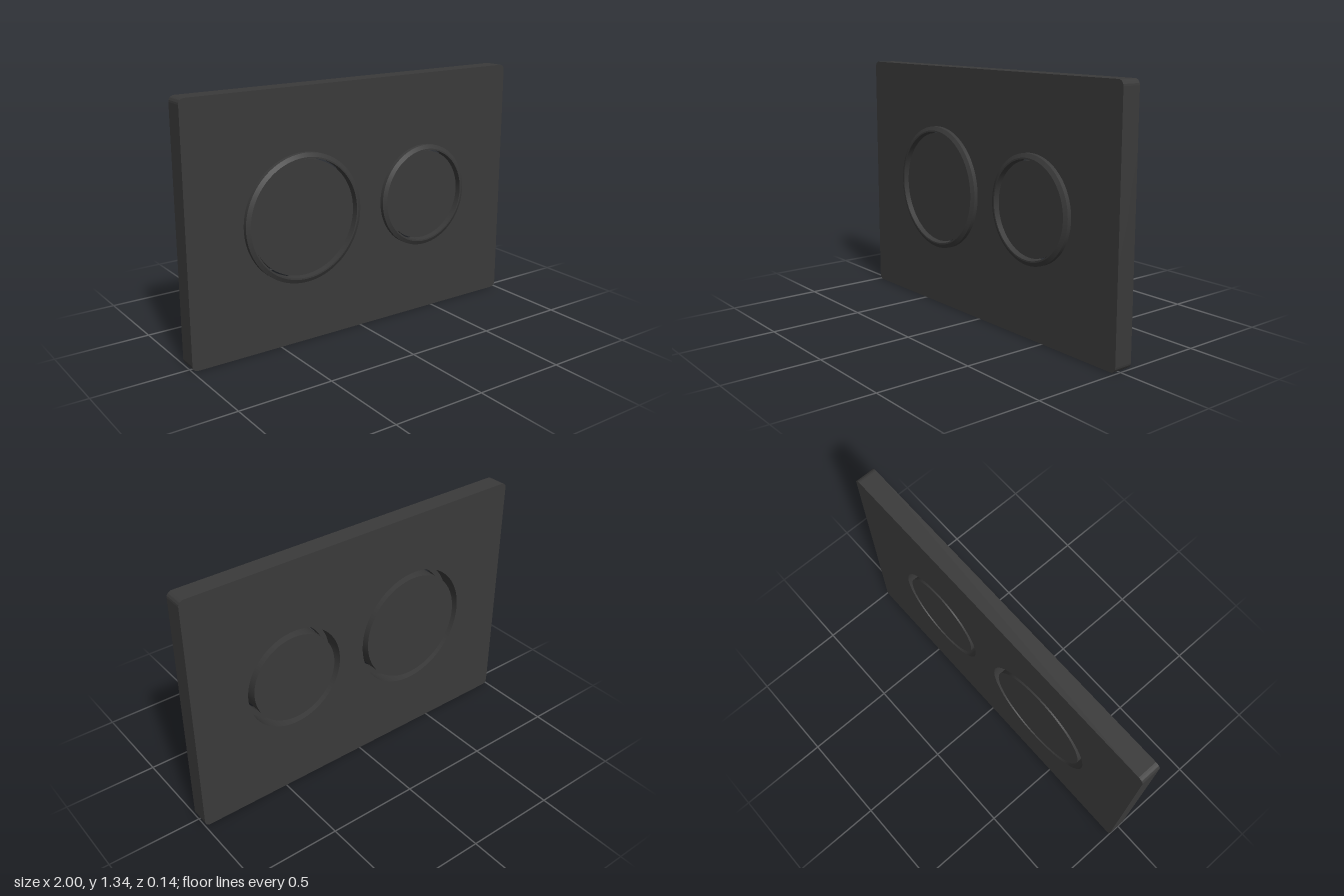
import * as THREE from 'three';
import { toCreasedNormals } from 'three/addons/utils/BufferGeometryUtils.js';

const BACK = -0.068, FRONT = 0.036, TOP = 0.069;
const WIDTH = 2, HEIGHT = 1.34, CENTRE_Y = 0.672;

// The two round buttons: centre x and outer radius of the surrounding ring
const BUTTONS = [
  { name: 'largeButton', x: -0.355, radius: 0.339 },
  { name: 'smallButton', x: 0.413, radius: 0.281 },
];

function roundedRectangle(w, h, r) {
  const s = new THREE.Shape();
  const x = w / 2;
  s.moveTo(-x + r, 0);
  s.lineTo(x - r, 0);
  s.absarc(x - r, r, r, -Math.PI / 2, 0);
  s.lineTo(x, h - r);
  s.absarc(x - r, h - r, r, 0, Math.PI / 2);
  s.lineTo(-x + r, h);
  s.absarc(-x + r, h - r, r, Math.PI / 2, Math.PI);
  s.lineTo(-x, r);
  s.absarc(-x + r, r, r, Math.PI, Math.PI * 1.5);
  return s;
}

// Spins a closed (radius, z) profile around the z axis
function spin(profile) {
  const points = profile.map(([r, z]) => new THREE.Vector2(r, z));
  const geometry = new THREE.LatheGeometry(points, 96).rotateX(Math.PI / 2);
  return toCreasedNormals(geometry, 0.25);
}

export function createModel() {
  const model = new THREE.Group();
  model.name = 'wallPlateWithButtons';
  const charcoal = new THREE.MeshStandardMaterial({ color: 0x3a3a3a });
  charcoal.name = 'charcoal';

  // Plate with a round opening for each button
  const outline = roundedRectangle(WIDTH, HEIGHT, 0.03);
  for (const { x, radius } of BUTTONS) {
    const hole = new THREE.Path();
    hole.absarc(x, CENTRE_Y, radius - 0.001, 0, Math.PI * 2, true);
    outline.holes.push(hole);
  }
  const plateGeometry = new THREE.ExtrudeGeometry(outline, {
    depth: FRONT - BACK, bevelEnabled: false, curveSegments: 48,
  });
  plateGeometry.translate(0, 0, BACK);
  const plate = new THREE.Mesh(toCreasedNormals(plateGeometry, 0.5), charcoal);
  plate.name = 'plate';
  model.add(plate);

  for (const { name, x, radius } of BUTTONS) {
    const button = new THREE.Group();
    button.name = name;
    button.position.set(x, CENTRE_Y, 0);

    // Raised chamfered ring, open behind
    const inner = radius - 0.029;
    const ring = new THREE.Mesh(spin([
      [inner, FRONT - 0.01], [radius, FRONT - 0.01], [radius, TOP - 0.011],
      [radius - 0.021, TOP], [inner, TOP], [inner, FRONT - 0.01],
    ]), charcoal);
    ring.name = name + 'Ring';

    // Push disc, set apart from the ring by a narrow through gap
    const disc = radius - 0.037;
    const press = new THREE.Mesh(spin([
      [0, BACK], [disc, BACK], [disc, FRONT + 0.008], [0, FRONT + 0.008],
    ]), charcoal);
    press.name = name + 'Disc';

    button.add(ring, press);
    model.add(button);
  }
  return model;
}
